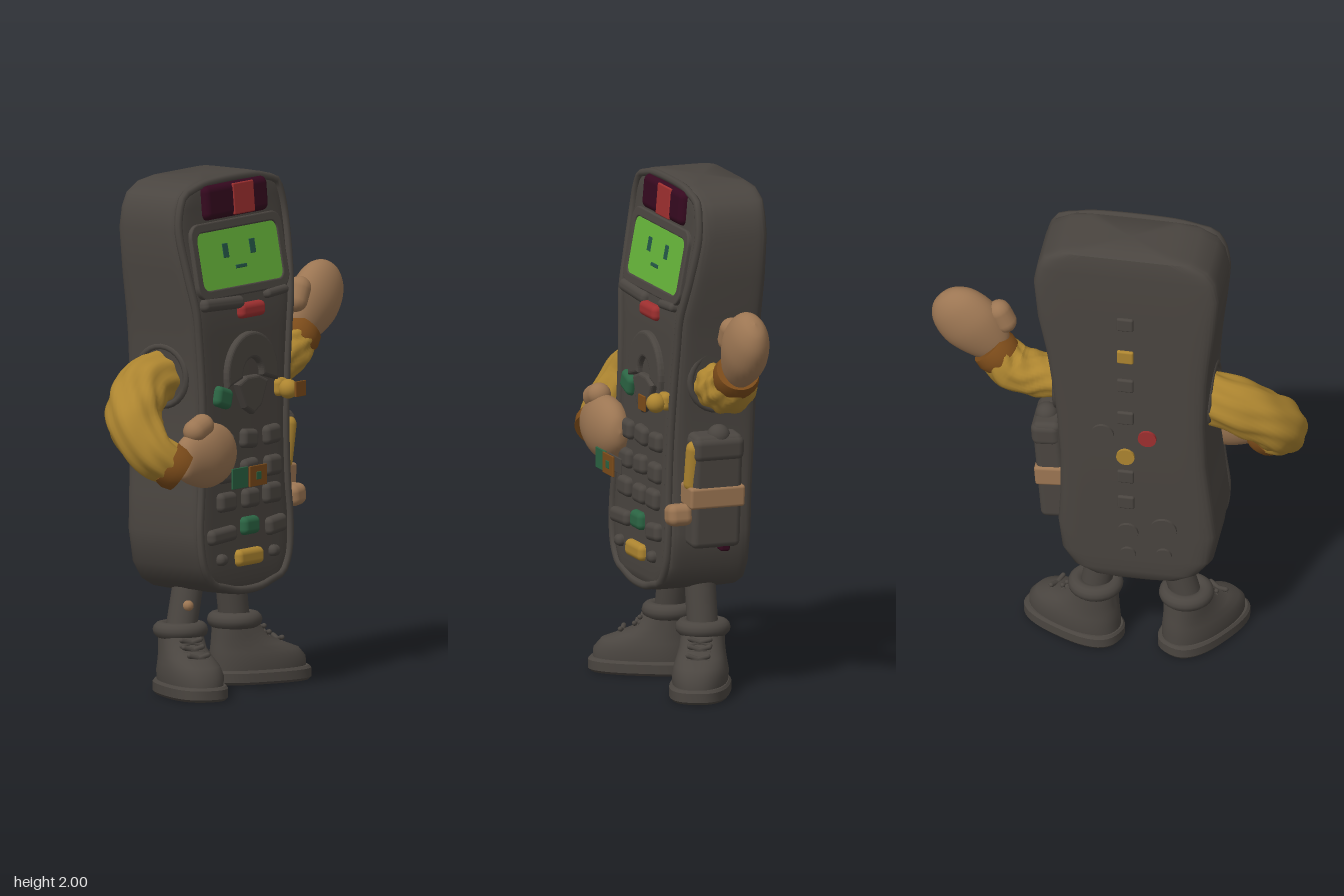
import * as THREE from 'three';
import { toCreasedNormals } from 'three/addons/utils/BufferGeometryUtils.js';
import { RoundedBoxGeometry } from 'three/addons/geometries/RoundedBoxGeometry.js';

const mat = (name, color) => new THREE.MeshStandardMaterial({ name, color });
const M = {
  grey: mat('charcoal', 0x4a4540), tan: mat('tan', 0x9c7653), yellow: mat('mustard', 0xad8530),
  brown: mat('brown', 0x7d4c1a), green: mat('green', 0x2b6443), screen: mat('screenGreen', 0x66b53a),
  teal: mat('darkTeal', 0x245647), red: mat('red', 0x9e2f2f), purple: mat('darkPurple', 0x35091f),
};
const V = (x, y, z) => new THREE.Vector3(x, y, z);

function add(parent, name, geo, material, x = 0, y = 0, z = 0, rx = 0, ry = 0, rz = 0) {
  const m = new THREE.Mesh(geo, material);
  m.name = name;
  m.position.set(x, y, z);
  m.rotation.set(rx, ry, rz);
  parent.add(m);
  return m;
}
const rbox = (w, h, d, r = 0.02) => new RoundedBoxGeometry(w, h, d, 3, Math.min(r, w / 2.1, h / 2.1, d / 2.1));

// Stack of superellipse sections, rows are [y, x0, x1, z0, z1] from bottom to top
function loft(rows, n, power, crease) {
  const pos = [], idx = [];
  const p = v => Math.sign(v) * Math.abs(v) ** (2 / power);
  rows.forEach(([y, x0, x1, z0, z1]) => {
    for (let j = 0; j < n; j++) {
      const a = (j + 0.5) / n * Math.PI * 2;
      pos.push((x0 + x1) / 2 + (x1 - x0) / 2 * p(Math.cos(a)), y, (z0 + z1) / 2 + (z1 - z0) / 2 * p(Math.sin(a)));
    }
  });
  for (let i = 0; i < rows.length - 1; i++) for (let j = 0; j < n; j++) {
    const a = i * n + j, b = i * n + (j + 1) % n;
    idx.push(a, a + n, b + n, a, b + n, b);
  }
  for (const i of [0, rows.length - 1]) {
    const [y, x0, x1, z0, z1] = rows[i], c = pos.length / 3;
    pos.push((x0 + x1) / 2, y, (z0 + z1) / 2);
    for (let j = 0; j < n; j++) {
      const a = i * n + j, b = i * n + (j + 1) % n;
      i ? idx.push(c, b, a) : idx.push(c, a, b);
    }
  }
  const g = new THREE.BufferGeometry();
  g.setAttribute('position', new THREE.Float32BufferAttribute(pos, 3));
  g.setIndex(idx);
  return toCreasedNormals(g, crease);
}

// Front and back surfaces of the casing by height
function lerpTable(t, y) {
  let i = 0;
  while (i < t.length - 2 && y > t[i + 1][0]) i++;
  const [a, b] = [t[i], t[i + 1]];
  return a[1] + (b[1] - a[1]) * (y - a[0]) / (b[0] - a[0]);
}
const zFront = y => lerpTable([[0.4, 0.15], [1.5, 0.11], [1.82, 0.05], [2, 0.035]], y);
const zBack = y => lerpTable([[0.4, -0.205], [1, -0.235], [1.8, -0.25], [2, -0.245]], y);
const tilt = f => y => Math.atan((f(y + 0.01) - f(y - 0.01)) / 0.02);
const frontTilt = tilt(zFront), backTilt = tilt(zBack);
const profile = [
  [0.395, -0.18, 0], [0.415, -0.27, 0.08], [0.45, -0.34, 0.15], [0.52, -0.395, 0.195], [0.65, -0.415, 0.21],
  [0.8, -0.4, 0.2], [1, -0.38, 0.2], [1.2, -0.375, 0.215], [1.4, -0.385, 0.24], [1.5, -0.395, 0.255],
  [1.65, -0.415, 0.285], [1.82, -0.43, 0.3], [1.9, -0.415, 0.285], [1.95, -0.385, 0.26], [1.985, -0.32, 0.195], [2, -0.24, 0.12],
];

function rounded(w, h, r) {
  const s = new THREE.Shape(), x = w / 2, y = h / 2, q = Math.PI / 2;
  s.absarc(x - r, y - r, r, 0, q).absarc(-x + r, y - r, r, q, 2 * q);
  s.absarc(-x + r, -y + r, r, 2 * q, 3 * q).absarc(x - r, -y + r, r, 3 * q, 4 * q);
  return s;
}
const slab = (shape, depth, bevel = 0) => new THREE.ExtrudeGeometry(shape,
  { depth, bevelEnabled: bevel > 0, bevelSize: bevel, bevelThickness: bevel, bevelSegments: 3, curveSegments: 12 });

function buildCasing(root) {
  const g = new THREE.Group();
  g.name = 'casing';
  root.add(g);
  const last = profile.length - 1;
  add(g, 'shell', loft(profile.map(([y, a, b], i) => {
    const inset = i === 0 || i === last ? 0.025 : i === 1 || i === last - 1 ? 0.006 : 0;
    return [y, a, b, zBack(y) + inset, zFront(y) - inset];
  }), 72, 10, 0.7), M.grey);
  const side = (k, s) => profile.map(r => V(r[k] + s * 0.02, r[0] + (r[0] < 0.43 ? 0.015 : r[0] > 1.97 ? -0.015 : 0), zFront(r[0]) - 0.006));
  const rim = new THREE.CatmullRomCurve3([...side(1, 1), ...side(2, -1).reverse()], true);
  add(g, 'frontRim', new THREE.TubeGeometry(rim, 120, 0.016, 8, true), M.grey);

  // Parts that lie on the sloping front
  const onFront = (name, geo, m, x, y, lift = 0, rz = 0) => add(g, name, geo, m, x, y, zFront(y) + lift, frontTilt(y), 0, rz);
  const frame = rounded(0.58, 0.285, 0.05);
  frame.holes.push(rounded(0.53, 0.235, 0.04));
  onFront('screenFrame', slab(frame, 0.012, 0.006), M.grey, -0.065, 1.69, -0.004);
  onFront('screen', slab(rounded(0.535, 0.24, 0.04), 0.008), M.screen, -0.065, 1.69, 0.001);
  for (const x of [-0.15, 0.025]) onFront('eye', rbox(0.036, 0.056, 0.006, 0.002), M.teal, x, 1.722, 0.008);
  onFront('mouth', rbox(0.07, 0.014, 0.006, 0.002), M.teal, -0.065, 1.655, 0.01);
  onFront('sensorWindow', rbox(0.41, 0.135, 0.06, 0.028), M.purple, -0.055, 1.912, -0.002);
  onFront('sensorLight', rbox(0.135, 0.122, 0.012, 0.03), M.red, -0.022, 1.914, 0.026);

  // Keys: material, x, y, width, height, roll
  const keys = [
    ['grey', -0.22, 1.525, 0.26, 0.05, -0.04], ['red', -0.04, 1.485, 0.16, 0.06, 0], ['grey', 0.13, 1.535, 0.14, 0.035, 0.06],
    ['green', -0.24, 1.165, 0.1, 0.08, -0.3], ['yellow', 0.14, 1.165, 0.07, 0.07, 0],
    ['grey', -0.08, 0.99, 0.1, 0.075, -0.1], ['grey', 0.07, 0.99, 0.1, 0.075, 0.05], ['grey', -0.23, 0.985, 0.1, 0.075, 0],
    ['grey', -0.08, 0.875, 0.1, 0.075, 0.08], ['grey', 0.07, 0.87, 0.1, 0.08, 0], ['grey', -0.235, 0.87, 0.1, 0.075, 0],
    ['grey', -0.235, 0.76, 0.11, 0.075, 0], ['grey', -0.08, 0.76, 0.1, 0.075, 0], ['grey', 0.06, 0.765, 0.105, 0.08, 0],
    ['grey', -0.27, 0.635, 0.17, 0.06, 0.05], ['green', -0.09, 0.655, 0.105, 0.07, 0], ['grey', 0.08, 0.64, 0.12, 0.07, 0.1],
    ['grey', -0.275, 0.54, 0.055, 0.045, 0], ['yellow', -0.1, 0.535, 0.165, 0.065, 0], ['grey', 0.065, 0.54, 0.055, 0.045, 0],
  ];
  for (const [m, x, y, w, h, r] of keys) onFront(m + 'Key', rbox(w, h, 0.05, 0.022), M[m], x, y, 0.003, r);
  add(g, 'joystickKnob', new THREE.SphereGeometry(0.038, 20, 14), M.yellow, 0.14, 1.16, 0.165);

  // Arched pad with a rounded wedge below
  const arch = new THREE.Shape();
  arch.absarc(0, 0, 0.155, -0.15, Math.PI + 0.15).absarc(0, 0, 0.075, Math.PI, 0, true);
  onFront('archPad', slab(arch, 0.012, 0.012), M.grey, -0.055, 1.235, 0);
  const wedge = new THREE.Shape([[-0.085, 0.045], [-0.035, 0.065], [0.035, 0.065], [0.085, 0.045], [0.045, -0.035], [0, -0.06], [-0.045, -0.035]]
    .map(p => new THREE.Vector2(...p)));
  onFront('lowerPad', slab(wedge, 0.014, 0.012), M.grey, -0.06, 1.155, 0);

  // Floating plates in front of the keypad
  add(g, 'greenPlate', rbox(0.1, 0.08, 0.008, 0.002), M.green, -0.27, 0.865, 0.232);
  add(g, 'brownPlate', rbox(0.11, 0.08, 0.008, 0.002), M.brown, -0.165, 0.865, 0.242);
  add(g, 'backingPlate', rbox(0.14, 0.06, 0.008, 0.002), M.grey, -0.175, 0.865, 0.212);
  add(g, 'platePip', rbox(0.03, 0.03, 0.006, 0.002), M.green, -0.165, 0.865, 0.246);
  add(g, 'smallPlate', rbox(0.065, 0.06, 0.008, 0.002), M.brown, 0.14, 1.165, 0.222);

  // Small controls on the back
  const onBack = (name, geo, m, x, y, rx = 0) => add(g, name, geo, m, x, y, zBack(y), backTilt(y) + rx);
  [['grey', 1.68], ['yellow', 1.52], ['grey', 1.38], ['grey', 1.22], ['grey', 0.93], ['grey', 0.8]]
    .forEach(([m, y]) => onBack('backSquare', rbox(0.065, 0.06, 0.022, 0.008), M[m], -0.065, y));
  [['grey', 0.025, 1.13, 0.045], ['red', -0.15, 1.13, 0.036], ['yellow', -0.065, 1.03, 0.036], ['grey', -0.21, 0.68, 0.052],
    ['grey', -0.07, 0.65, 0.042], ['grey', -0.21, 0.55, 0.032], ['grey', -0.07, 0.54, 0.032]]
    .forEach(([m, x, y, r]) => onBack('backButton', new THREE.CylinderGeometry(r, r, 0.022, 20), M[m], x, y, Math.PI / 2));
  for (const x of [-0.375, 0.22]) add(g, 'armSocket', new THREE.TorusGeometry(0.115, 0.014, 8, 28), M.grey, x, 1.25, -0.06, 0, Math.PI / 2);
}

// Sleeve with lengthwise folds, a cuff and a mitten
function buildArm(root, name, points, radii, hand, roll, thick, cuffRadius) {
  const g = new THREE.Group();
  g.name = name;
  root.add(g);
  const curve = new THREE.CatmullRomCurve3(points.map(p => V(...p)));
  const N = 48, R = 40, geo = new THREE.TubeGeometry(curve, N, 1, R), pos = geo.attributes.position, v = V();
  for (let i = 0; i <= N; i++) {
    const u = i / N, c = curve.getPointAt(u);
    for (let j = 0; j <= R; j++) {
      const a = j / R * Math.PI * 2, k = i * (R + 1) + j;
      const fold = 1 + 0.05 * Math.sin(8 * a + 2.5 * Math.sin(u * 7)) + 0.03 * Math.sin(3 * a + u * 20);
      v.fromBufferAttribute(pos, k).sub(c).multiplyScalar(lerpTable(radii, u) * fold).add(c);
      pos.setXYZ(k, v.x, v.y, v.z);
    }
  }
  add(g, 'sleeve', toCreasedNormals(geo, 0.9), M.yellow);
  const end = curve.getPointAt(1), cuffPts = [[0, -0.035], [cuffRadius, -0.035], [cuffRadius + 0.008, 0], [cuffRadius, 0.035], [0, 0.035]];
  const cuff = add(g, 'cuff', toCreasedNormals(new THREE.LatheGeometry(cuffPts.map(p => new THREE.Vector2(...p)), 28), 0.7), M.brown, end.x, end.y, end.z);
  cuff.quaternion.setFromUnitVectors(V(0, 1, 0), curve.getTangentAt(1));
  const mitten = new THREE.Group();
  mitten.name = 'mitten';
  mitten.position.set(...hand);
  mitten.rotation.z = roll;
  g.add(mitten);
  const egg = new THREE.SplineCurve([[0, -0.005], [0.065, 0], [0.105, 0.07], [0.126, 0.16], [0.108, 0.25], [0.06, 0.305], [0, 0.322]].map(p => new THREE.Vector2(...p)));
  add(mitten, 'palm', new THREE.LatheGeometry(egg.getPoints(28), 32), M.tan).scale.z = thick;
  add(mitten, 'thumb', new THREE.CapsuleGeometry(0.046, 0.05, 8, 16), M.tan, -0.115, 0.1, 0.01, 0, 0, 0.3);
}

function buildLeg(root, name, hip, ankle, yaw) {
  const g = new THREE.Group();
  g.name = name;
  root.add(g);
  const path = new THREE.CatmullRomCurve3([V(hip, 0.46, -0.05), V((hip + ankle) / 2, 0.35, -0.05), V(ankle, 0.24, -0.05)]);
  add(g, 'shin', new THREE.TubeGeometry(path, 12, 0.06, 18), M.grey);
  const boot = new THREE.Group();
  boot.name = 'boot';
  boot.position.set(ankle, 0, -0.05);
  boot.rotation.y = yaw;
  g.add(boot);
  const row = (y, w, z0, z1) => [y, -w, w, z0, z1];
  add(boot, 'sole', loft([row(0.01, 0.108, -0.105, 0.305), row(0.02, 0.116, -0.112, 0.315), row(0.055, 0.116, -0.112, 0.315), row(0.065, 0.108, -0.105, 0.305)], 40, 2.6, 0.6), M.grey);
  add(boot, 'upper', loft([row(0.06, 0.105, -0.1, 0.298), row(0.1, 0.108, -0.1, 0.295), row(0.135, 0.1, -0.098, 0.265),
    row(0.16, 0.093, -0.094, 0.2), row(0.19, 0.087, -0.09, 0.13), row(0.25, 0.083, -0.085, 0.085)], 40, 2.3, 1), M.grey);
  add(boot, 'bootCollar', new THREE.TorusGeometry(0.075, 0.032, 12, 28), M.grey, 0, 0.255, 0, Math.PI / 2);
  for (const [y, z] of [[0.165, 0.185], [0.19, 0.13], [0.215, 0.108]])
    for (const s of [-1, 1]) add(boot, 'lace', new THREE.CapsuleGeometry(0.01, 0.08, 4, 8), M.grey, 0, y, z, 0, 0, Math.PI / 2 + s * 0.3);
}

// Pouch with strap, hung on the side
function buildPouch(root) {
  const g = new THREE.Group();
  g.name = 'sidePouch';
  g.position.set(0.25, 0.83, -0.03);
  g.rotation.z = -0.08;
  root.add(g);
  add(g, 'pouchBox', rbox(0.11, 0.45, 0.2, 0.025), M.grey);
  add(g, 'pouchFlap', rbox(0.115, 0.1, 0.21, 0.03), M.grey, 0.005, 0.17, 0);
  add(g, 'pouchKnob', new THREE.SphereGeometry(0.045, 18, 12), M.grey, 0.01, 0.215, -0.01);
  add(g, 'strap', rbox(0.122, 0.085, 0.225, 0.012), M.tan, 0, -0.02, 0.003);
  add(g, 'strapEnd', rbox(0.09, 0.085, 0.1, 0.03), M.tan, -0.005, -0.095, 0.14, 0, 0, 0.2);
  add(g, 'yellowTool', new THREE.CapsuleGeometry(0.034, 0.14, 6, 14), M.yellow, 0.01, 0.1, 0.09, 0, 0, -0.1);
  add(g, 'purpleTab', rbox(0.05, 0.035, 0.04, 0.01), M.purple, 0.02, -0.225, -0.04);
}

export function createModel() {
  const root = new THREE.Group();
  root.name = 'remoteFigure';
  buildCasing(root);
  buildArm(root, 'rightArm', [[-0.33, 1.25, -0.08], [-0.48, 1.21, -0.08], [-0.61, 1.1, -0.02], [-0.62, 0.99, 0.07], [-0.56, 0.935, 0.13]],
    [[0, 0.1], [0.3, 0.105], [0.6, 0.105], [1, 0.078]], [-0.555, 0.955, 0.165], -1.53, 0.64, 0.085);
  buildArm(root, 'leftArm', [[0.16, 1.24, -0.04], [0.3, 1.23, -0.04], [0.41, 1.255, -0.04], [0.475, 1.315, -0.035]],
    [[0, 0.08], [0.4, 0.085], [0.75, 0.092], [1, 0.08]], [0.473, 1.325, -0.03], -0.74, 0.66, 0.083);
  buildLeg(root, 'rightLeg', -0.21, -0.27, -0.55);
  buildLeg(root, 'leftLeg', 0.05, 0.085, 1.1);
  add(root, 'kneePatch', new THREE.SphereGeometry(0.022, 12, 8), M.tan, -0.275, 0.35, -0.01);
  buildPouch(root);
  return root;
}
